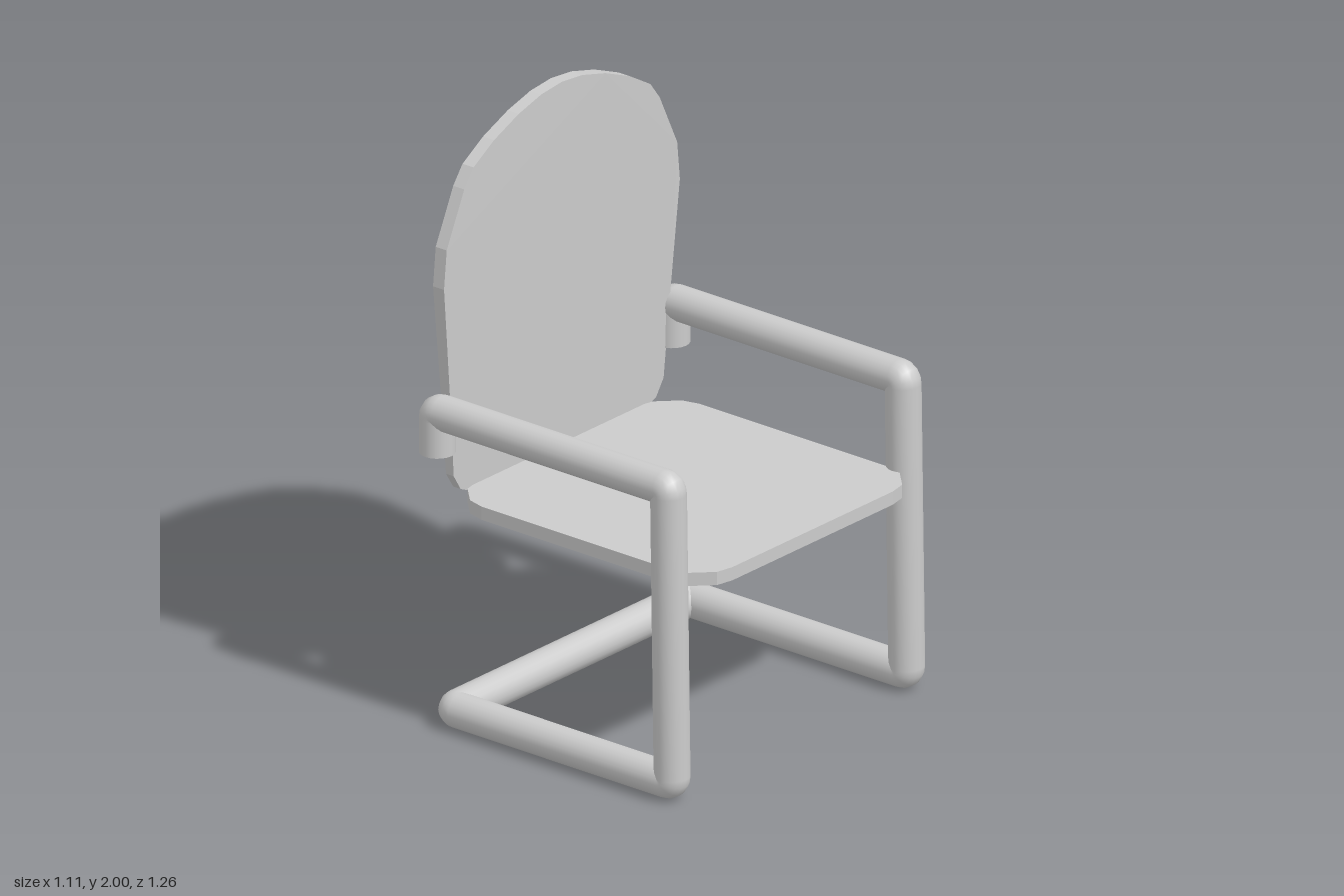
import * as THREE from 'three';

const material = new THREE.MeshStandardMaterial({ color: 0xcccccc });
const RADIUS = 0.058;

// Curve through fixed stations, with tight bends at the inner corners
class BentPath extends THREE.Curve {
  constructor(corners, bend) {
    super();
    this.points = [];
    this.tangents = [];
    const dir = (a, b) => b.clone().sub(a).normalize();
    const last = corners.length - 1;
    corners.forEach((c, i) => {
      if (i === 0 || i === last) {
        this.points.push(c);
        this.tangents.push(i === 0 ? dir(c, corners[1]) : dir(corners[i - 1], c));
        return;
      }
      const a = c.clone().addScaledVector(dir(corners[i - 1], c), -bend);
      const b = c.clone().addScaledVector(dir(c, corners[i + 1]), bend);
      const arc = new THREE.QuadraticBezierCurve3(a, c, b);
      for (let k = 0; k <= 4; k++) {
        this.points.push(arc.getPoint(k / 4));
        this.tangents.push(arc.getTangent(k / 4));
      }
    });
  }
  index(u) { return Math.round(u * (this.points.length - 1)); }
  getPoint(u, target = new THREE.Vector3()) { return target.copy(this.points[this.index(u)]); }
  getPointAt(u, target) { return this.getPoint(u, target); }
  getTangentAt(u, target = new THREE.Vector3()) { return target.copy(this.tangents[this.index(u)]); }
}

// Closed outline mirrored across the vertical axis of the shape
function mirroredShape(half) {
  const other = half.map(([x, y]) => [-x, y]).reverse();
  return new THREE.Shape([...half, ...other].map(([x, y]) => new THREE.Vector2(x, y)));
}

function addMesh(group, name, geometry) {
  const mesh = new THREE.Mesh(geometry, material);
  mesh.name = name;
  group.add(mesh);
  return mesh;
}

export function createModel() {
  const chair = new THREE.Group();
  chair.name = 'cantileverChair';

  // One continuous tube: arm, leg, runner, rear bar and back up the other side
  const frame = new THREE.Group();
  frame.name = 'tubeFrame';
  chair.add(frame);
  const side = [[-0.5, 0.92], [-0.5, 1.058], [0.445, 1.058], [0.46, 0.063], [-0.43, 0.063]];
  const atZ = (z) => side.map(([x, y]) => new THREE.Vector3(x, y, z));
  const path = new BentPath([...atZ(0.57), ...atZ(-0.57).reverse()], 0.02);
  addMesh(frame, 'frameTube', new THREE.TubeGeometry(path, path.points.length - 1, RADIUS, 20));

  // Caps on the open arm ends
  for (const s of [1, -1]) {
    const cap = addMesh(frame, s > 0 ? 'leftArmCap' : 'rightArmCap',
      new THREE.CircleGeometry(RADIUS, 20).rotateX(Math.PI / 2));
    cap.position.set(-0.5, 0.92, 0.57 * s);
  }

  // Flat seat with faceted rounded corners
  const seatHalf = [[0.35 + 0.07, -0.53], [0.49, -0.515], [0.51, -0.45], [0.5225, -0.39],
    [0.5225, 0.39], [0.51, 0.45], [0.445, 0.515], [0.385, 0.53]];
  seatHalf[0] = [0.385, -0.53];
  seatHalf[1] = [0.445, -0.515];
  const seat = addMesh(chair, 'seat', new THREE.ExtrudeGeometry(mirroredShape(seatHalf),
    { depth: 0.045, bevelEnabled: false }).rotateX(Math.PI / 2));
  seat.position.set(0.0325, 0.76, 0);

  // Arched backrest, slightly thinner towards its lower edge
  const backHalf = [[0.43, 0.745], [0.475, 0.765], [0.51, 0.82], [0.535, 1.1], [0.573, 1.48],
    [0.56, 1.61], [0.475, 1.79], [0.43, 1.85], [0.33, 1.91], [0.21, 1.96], [0.1, 1.99], [0, 2]];
  const backShape = new THREE.Shape([...backHalf, ...backHalf.slice(0, -1).map(([x, y]) => [-x, y]).reverse()]
    .map(([x, y]) => new THREE.Vector2(x, y)));
  const backGeometry = new THREE.ExtrudeGeometry(backShape, { depth: 0.045, bevelEnabled: false })
    .rotateY(-Math.PI / 2);
  const pos = backGeometry.attributes.position;
  for (let i = 0; i < pos.count; i++) {
    const low = Math.max(0, (1.48 - pos.getY(i)) / 0.74);
    if (pos.getX(i) > -0.01) pos.setX(i, -0.015 * low);
  }
  backGeometry.computeVertexNormals();
  addMesh(chair, 'backrest', backGeometry).position.x = -0.47;

  return chair;
}
